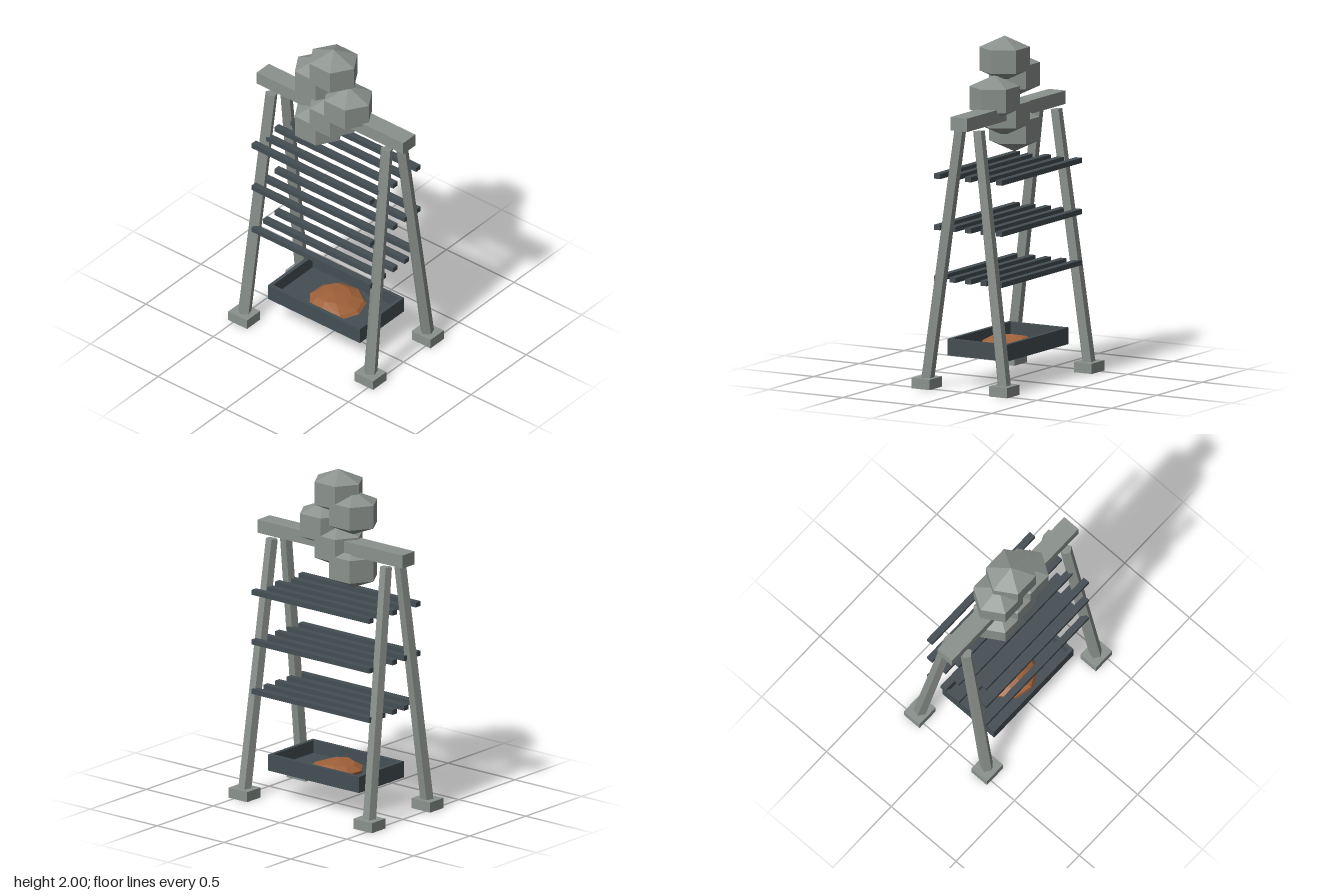
import * as THREE from 'three';

const flat = (name, color) => {
  const m = new THREE.MeshStandardMaterial({ color, flatShading: true });
  m.name = name;
  return m;
};

export function createModel() {
  const root = new THREE.Group();
  root.name = 'smokingRack';
  const stone = flat('paleStone', 0x8b928d);
  const iron = flat('darkIron', 0x444e53);
  const ember = flat('emberOrange', 0xa0623a);

  const add = (name, geometry, material, x = 0, y = 0, z = 0, parent = root) => {
    const mesh = new THREE.Mesh(geometry, material);
    mesh.name = name;
    mesh.position.set(x, y, z);
    parent.add(mesh);
    return mesh;
  };
  const box = (name, w, h, d, material, x, y, z, parent) =>
    add(name, new THREE.BoxGeometry(w, h, d), material, x, y, z, parent);

  // Four splayed five-sided legs on square feet
  const up = new THREE.Vector3(0, 1, 0);
  for (const sx of [-1, 1]) {
    for (const sz of [-1, 1]) {
      box('foot', 0.139, 0.06, 0.12, stone, sx * 0.467, 0.03, sz * 0.26);
      const low = new THREE.Vector3(sx * 0.467, 0.03, sz * 0.26);
      const high = new THREE.Vector3(sx * 0.427, 1.517, sz * 0.062);
      const dir = high.clone().sub(low);
      const mid = low.clone().add(high).multiplyScalar(0.5);
      const leg = add('leg', new THREE.CylinderGeometry(0.036, 0.04, dir.length(), 5),
        stone, mid.x, mid.y, mid.z);
      leg.quaternion.setFromUnitVectors(up, dir.normalize());
    }
  }

  // Ridge beam
  box('ridgeBeam', 1.085, 0.078, 0.11, stone, 0, 1.566, 0);

  // Three levels of five rails
  const rails = new THREE.Group();
  rails.name = 'rails';
  root.add(rails);
  for (const y of [0.635, 0.932, 1.23]) {
    for (let i = -2; i <= 2; i++) {
      box('rail', 0.88, 0.03, 0.04, iron, 0, y, i * 0.104, rails);
    }
  }

  // Fire tray with a rim
  const tray = new THREE.Group();
  tray.name = 'fireTray';
  root.add(tray);
  box('trayFloor', 0.68, 0.022, 0.4, iron, 0, 0.184, 0, tray);
  for (const s of [-1, 1]) {
    box('trayLongWall', 0.68, 0.075, 0.022, iron, 0, 0.2325, s * 0.189, tray);
    box('trayShortWall', 0.022, 0.075, 0.356, iron, s * 0.329, 0.2325, 0, tray);
  }

  // Ember mound: uneven nine-sided dome
  const mound = new THREE.LatheGeometry([
    new THREE.Vector2(0.168, 0), new THREE.Vector2(0.16, 0.02),
    new THREE.Vector2(0.1, 0.05), new THREE.Vector2(0, 0.06),
  ], 9, 0.12);
  const p = mound.attributes.position;
  for (let i = 0; i < p.count; i++) {
    const a = Math.atan2(p.getX(i), p.getZ(i));
    const h = p.getY(i);
    p.setY(i, h * (1 + 0.15 * Math.sin(2 * a + 1)));
    p.setX(i, p.getX(i) - h * 0.5);
  }
  add('emberMound', mound, ember, 0.01, 0.195, 0);

  // Column of overlapping six-sided blocks, each pointed above and below
  const block = new THREE.LatheGeometry([
    new THREE.Vector2(0, -0.133), new THREE.Vector2(0.153, -0.068),
    new THREE.Vector2(0.153, 0.068), new THREE.Vector2(0, 0.133),
  ], 6, Math.PI / 2);
  block.scale(1, 1, 0.93);
  const smoke = new THREE.Group();
  smoke.name = 'smokePuffs';
  root.add(smoke);
  [-0.109, 0, 0.109, -0.109, 0].forEach((x, i) =>
    add('smokePuff', block, stone, x, 1.443 + i * 0.106, 0.023, smoke));

  return root;
}
